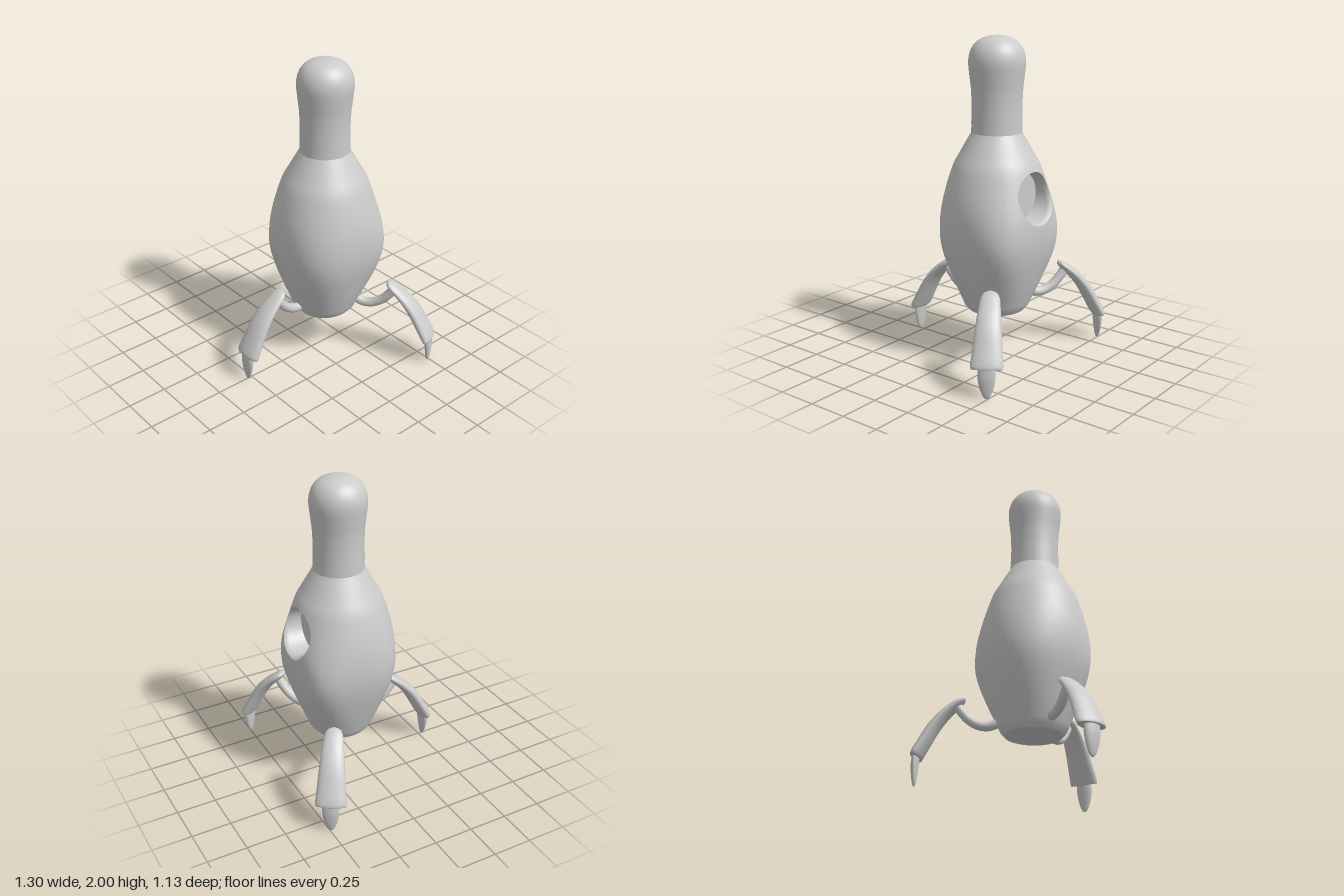
import * as THREE from 'three';
import { mergeVertices } from 'three/addons/utils/BufferGeometryUtils.js';

const mat = new THREE.MeshStandardMaterial({ color: 0xcccccc });

const AXIS_Z = -0.11;                 // body axis
const HOLE_Y = 1.045, HOLE_R = 0.16;  // round entrance at the back
const COLS = 48, ROWS = 40, Y0 = 0.3, Y1 = 1.42;

const toVectors = (list) => list.map(([x, y]) => new THREE.Vector2(x, y));

const profile = new THREE.SplineCurve(toVectors([
  [0.175, 0.3], [0.192, 0.315], [0.212, 0.36], [0.262, 0.5], [0.318, 0.7], [0.335, 0.86],
  [0.322, 1.02], [0.274, 1.2], [0.223, 1.3], [0.155, 1.42],
])).getPoints(200);

function radiusAt(y) {
  const k = profile.findIndex((p) => p.y >= y - 1e-6);
  if (k <= 0) return profile[k < 0 ? 200 : 0].x;
  const a = profile[k - 1], b = profile[k];
  return a.x + (b.x - a.x) * (y - a.y) / (b.y - a.y);
}

// Cross-section: round at both ends, squarer around the lower middle
const power = (y, back) => 2 + Math.exp(-(((y - 0.7) / 0.25) ** 2)) * (back ? 1.4 : 0.5);

function indexed(positions, index) {
  const g = new THREE.BufferGeometry();
  g.setAttribute('position', new THREE.Float32BufferAttribute(positions.flat(), 3));
  g.setIndex(index);
  const merged = mergeVertices(g, 1e-5);
  merged.computeVertexNormals();
  return merged;
}

// Joins consecutive rows of points with quads
function strip(rows, positions = [], index = []) {
  const base = positions.length, n = rows[0].length;
  rows.forEach((row) => positions.push(...row));
  for (let j = 0; j < rows.length - 1; j++) {
    for (let i = 0; i < n - 1; i++) {
      const a = base + j * n + i, d = a + n;
      index.push(a, a + 1, d + 1, a, d + 1, d);
    }
  }
  return [positions, index];
}

// Row collapsed to the centre of a closed ring
function centreOf(ring) {
  const n = ring.length - 1;
  const c = [0, 1, 2].map((d) => ring.slice(0, n).reduce((sum, q) => sum + q[d], 0) / n);
  return ring.map(() => c);
}

// Body skin with a circular opening in the back; also returns its edge loops
function bodySkin() {
  const at = (i, j) => {
    const a = (2 * Math.PI * (i % COLS)) / COLS, y = Y0 + ((Y1 - Y0) * j) / ROWS;
    const s = Math.sin(a), c = Math.cos(a), n = power(y, c < 0);
    const R = radiusAt(y) / Math.pow(Math.abs(s) ** n + Math.abs(c) ** n, 1 / n);
    return [R * s, y, AXIS_Z + R * c];
  };
  const onBack = (x, y) => {
    const n = power(y, true), R = radiusAt(y);
    return [x, y, AXIS_Z - R * Math.pow(Math.max(0, 1 - Math.abs(x / R) ** n), 1 / n)];
  };
  const [i0, i1, j0, j1] = [18, 30, 19, 35];
  const positions = [], index = [];
  for (let j = 0; j < ROWS; j++) {
    for (let i = 0; i < COLS; i++) {
      if (i >= i0 && i < i1 && j >= j0 && j < j1) continue;
      strip([[at(i, j), at(i + 1, j)], [at(i, j + 1), at(i + 1, j + 1)]], positions, index);
    }
  }
  // window perimeter blended into the round opening
  const edge = [];
  for (let i = i0; i < i1; i++) edge.push(at(i, j0));
  for (let j = j0; j < j1; j++) edge.push(at(i1, j));
  for (let i = i1; i > i0; i--) edge.push(at(i, j1));
  for (let j = j1; j >= j0; j--) edge.push(at(i0, j));
  const rings = [edge];
  for (let k = 1; k <= 6; k++) {
    rings.push(edge.map(([x, y]) => {
      const f = 1 + (HOLE_R / Math.hypot(x, y - HOLE_Y) - 1) * (k / 6);
      return onBack(x * f, HOLE_Y + (y - HOLE_Y) * f);
    }));
  }
  strip(rings, positions, index);
  const bottom = Array.from({ length: COLS + 1 }, (_, i) => at(i, 0));
  return { geometry: indexed(positions, index), hole: rings[6], bottom };
}

// Smooth tapering limb; each station is [outward, y, halfWidth, halfThickness]
function limb(stations, steps = 28, sides = 24) {
  const mid = new THREE.CatmullRomCurve3(stations.map(([r, y]) => new THREE.Vector3(0, y, r)));
  const size = new THREE.CatmullRomCurve3(stations.map(([, , w, t]) => new THREE.Vector3(w, t, 0)));
  const rows = [];
  for (let k = 0; k <= steps; k++) {
    const p = mid.getPoint(k / steps), t = mid.getTangent(k / steps), s = size.getPoint(k / steps);
    rows.push(Array.from({ length: sides + 1 }, (_, i) => {
      const a = (2 * Math.PI * (i % sides)) / sides;
      const u = Math.cos(a) * Math.max(s.x, 0), v = Math.sin(a) * Math.max(s.y, 0);
      return [u, p.y + v * t.z, p.z - v * t.y];
    }));
  }
  return indexed(...strip([centreOf(rows[0]), ...rows, centreOf(rows[steps])]));
}

export function createModel() {
  const model = new THREE.Group();
  const add = (name, geometry, parent = model) => {
    const mesh = new THREE.Mesh(geometry, mat);
    mesh.name = name;
    parent.add(mesh);
    return mesh;
  };

  // Body with a closed bottom
  const { geometry, hole, bottom } = bodySkin();
  add('body', geometry);
  add('bodyBottom', indexed(...strip([centreOf(bottom), bottom])));

  // Round entrance: softened lip, wall and flat floor
  const inward = (f, depth) => hole.map(([x, y, z]) => [x * f, HOLE_Y + (y - HOLE_Y) * f, z + depth]);
  const floorEdge = inward(0.9, 0).map(([x, y]) => [x, y, -0.3]);
  add('entranceWall', indexed(...strip([hole, inward(0.95, 0.01), inward(0.91, 0.03), floorEdge])));
  add('entranceFloor', indexed(...strip([floorEdge, centreOf(floorEdge)])));

  // Neck and rounded head
  const headCurve = new THREE.SplineCurve(toVectors([
    [0.156, 1.42], [0.154, 1.5], [0.153, 1.58], [0.157, 1.68], [0.167, 1.77], [0.173, 1.84],
    [0.166, 1.893], [0.145, 1.938], [0.11, 1.972], [0.06, 1.993], [0.02, 1.999], [0, 2],
  ]));
  add('neckAndHead', new THREE.LatheGeometry(headCurve.getPoints(60), 48)).position.z = AXIS_Z;
  const band = new THREE.CylinderGeometry(0.1545, 0.1555, 0.06, 48, 1, true);
  add('neckBand', band).position.set(0, 1.5, AXIS_Z);

  // Three legs: curved arm, flared shin and claw
  const armPath = new THREE.CatmullRomCurve3([
    [0.15, 0.385], [0.2, 0.368], [0.26, 0.375], [0.32, 0.41], [0.36, 0.452], [0.388, 0.489],
  ].map(([r, y]) => new THREE.Vector3(0, y, r)));
  const armGeo = new THREE.TubeGeometry(armPath, 24, 0.03, 14);
  const shinGeo = limb([
    [0.347, 0.548, 0.012, 0.008], [0.36, 0.54, 0.042, 0.018], [0.39, 0.517, 0.058, 0.026],
    [0.47, 0.445, 0.07, 0.033], [0.533, 0.365, 0.079, 0.038], [0.587, 0.27, 0.088, 0.039],
    [0.627, 0.195, 0.095, 0.038], [0.633, 0.178, 0.091, 0.034],
  ]);
  const clawGeo = limb([
    [0.633, 0.2, 0.05, 0.023], [0.637, 0.14, 0.052, 0.023], [0.638, 0.08, 0.044, 0.019],
    [0.637, 0.025, 0.026, 0.012], [0.636, 0.004, 0.012, 0.006], [0.636, 0, 0.002, 0.002],
  ]);
  const legs = [['frontLeg', 0, 0], ['leftBackLeg', 122.6, 0.073], ['rightBackLeg', -122.6, 0.073]];
  for (const [name, degrees, offset] of legs) {
    const leg = new THREE.Group();
    const angle = THREE.MathUtils.degToRad(degrees);
    leg.name = name;
    leg.rotation.y = angle;
    leg.position.set(Math.sin(angle) * offset, 0, AXIS_Z + Math.cos(angle) * offset);
    add('arm', armGeo, leg);
    add('shin', shinGeo, leg);
    add('claw', clawGeo, leg);
    model.add(leg);
  }
  return model;
}
